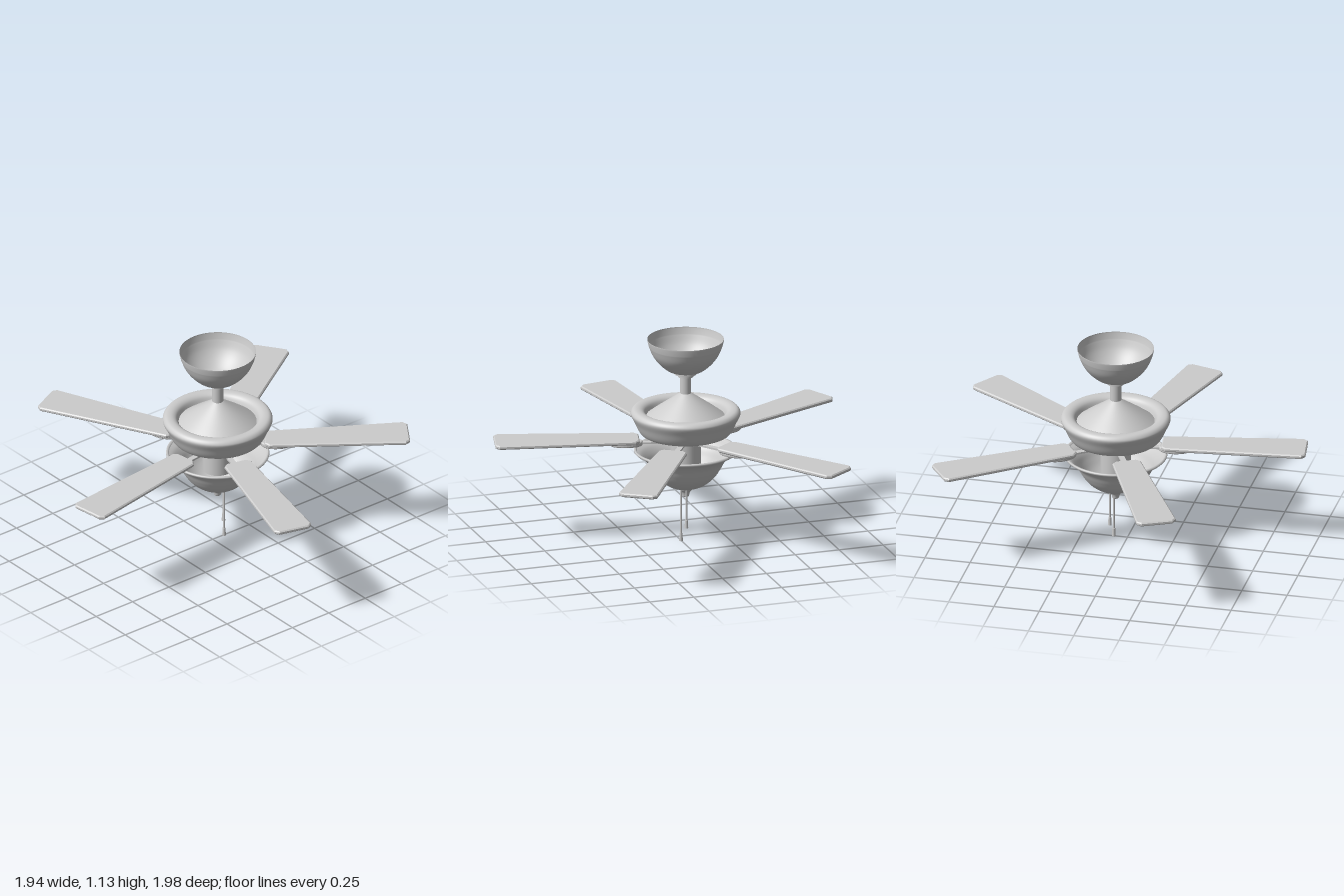
import * as THREE from 'three';

const material = new THREE.MeshStandardMaterial({ color: 0xcccccc, side: THREE.DoubleSide });

function addMesh(parent, name, geometry, x = 0, y = 0, z = 0) {
  const mesh = new THREE.Mesh(geometry, material);
  mesh.name = name;
  mesh.position.set(x, y, z);
  parent.add(mesh);
  return mesh;
}

// Turned part: [radius, height] points listed from bottom to top; a doubled point keeps a sharp edge
function turned(parent, name, points) {
  const profile = points.map(([r, y]) => new THREE.Vector2(r, y));
  return addMesh(parent, name, new THREE.LatheGeometry(profile, 64));
}

// Smooth curve through a few [radius, height] points
function smooth(points, steps = 24) {
  const curve = new THREE.SplineCurve(points.map(([r, y]) => new THREE.Vector2(r, y)));
  return curve.getPoints(steps).map((p) => [Math.max(p.x, 0), p.y]);
}

// Flat bevelled plate lying in the xz plane, centred on height y
function plate(parent, name, shape, thickness, bevel, y, segments = 1) {
  const geometry = new THREE.ExtrudeGeometry(shape, {
    depth: thickness - 2 * bevel, bevelThickness: bevel, bevelSize: bevel,
    bevelOffset: -bevel, bevelSegments: segments, curveSegments: 16,
  });
  geometry.translate(0, 0, bevel - thickness / 2);
  geometry.rotateX(-Math.PI / 2);
  return addMesh(parent, name, geometry, 0, y, 0);
}

// Blade outline, widening towards a tip with clipped corners
function bladeShape() {
  const inner = 0.25, outer = 1.03, a = 0.078, b = 0.108, cut = 0.022;
  return new THREE.Shape([
    [inner + cut, -a], [outer - cut, -b], [outer, -b + cut], [outer, b - cut],
    [outer - cut, b], [inner + cut, a], [inner, a - cut], [inner, -a + cut],
  ].map(([x, y]) => new THREE.Vector2(x, y)));
}

// Blade with its bracket, pointing along +x
function createArm(angle) {
  const arm = new THREE.Group();
  arm.name = 'bladeArm';
  plate(arm, 'blade', bladeShape(), 0.022, 0.006, 0.577);

  const pad = new THREE.Shape();
  pad.absellipse(0.32, 0, 0.09, 0.055, 0, Math.PI * 2);
  plate(arm, 'bracketPad', pad, 0.028, 0.009, 0.555, 3);

  addMesh(arm, 'bracketBar', new THREE.BoxGeometry(0.2, 0.01, 0.03), 0.17, 0.556, 0);
  arm.rotation.y = THREE.MathUtils.degToRad(angle);
  return arm;
}

function pullChain(parent, x, z, bottom) {
  const chain = new THREE.Group();
  chain.name = 'pullChain';
  const top = 0.31, fob = 0.046;
  addMesh(chain, 'chain', new THREE.CylinderGeometry(0.005, 0.005, top - bottom - fob, 10),
    0, (top + bottom + fob) / 2, 0);
  addMesh(chain, 'fob', new THREE.CylinderGeometry(0.008, 0.01, fob, 14), 0, bottom + fob / 2, 0);
  chain.position.set(x, 0, z);
  parent.add(chain);
}

export function createModel() {
  const model = new THREE.Group();
  model.name = 'ceilingFan';
  const fan = new THREE.Group();
  fan.name = 'fan';
  fan.position.set(0.058, 0, -0.03);
  model.add(fan);

  // Ceiling canopy, open at the top
  turned(fan, 'canopy', [
    ...smooth([[0.06, 0.953], [0.1, 0.966], [0.145, 1.005], [0.178, 1.05], [0.199, 1.1]]),
    [0.206, 1.13], [0.206, 1.137]]);
  turned(fan, 'canopyCollar', [
    [0.03, 0.925], [0.042, 0.925], [0.042, 0.925], [0.042, 0.938], [0.042, 0.938],
    [0.06, 0.94], [0.06, 0.94], [0.06, 0.957], [0.06, 0.957], [0.045, 0.965], [0.025, 0.978], [0, 0.982]]);

  // Down rod and the cone at its foot
  addMesh(fan, 'downRod', new THREE.CylinderGeometry(0.03, 0.03, 0.14, 32), 0, 0.88, 0);
  turned(fan, 'motorCone', [[0.215, 0.7], [0.155, 0.745], [0.045, 0.822], [0.03, 0.832]]);

  // Motor housing with a rounded lip dipping down to the cone
  turned(fan, 'motorHousing', [
    [0, 0.6], [0.215, 0.6], [0.215, 0.6],
    ...smooth([[0.215, 0.6], [0.24, 0.61], [0.258, 0.635], [0.276, 0.675], [0.294, 0.712],
      [0.292, 0.73], [0.275, 0.744], [0.245, 0.744], [0.222, 0.73], [0.208, 0.7]], 40)]);

  // Shaft between motor and light
  addMesh(fan, 'hub', new THREE.CylinderGeometry(0.082, 0.082, 0.2, 40), 0, 0.51, 0);

  // Blades
  for (const angle of [35.3, 115.8, 188.6, 255, 326.3]) fan.add(createArm(angle));

  // Light bowl, open at the top, with a flared rim
  turned(fan, 'lightBowl', [
    ...smooth([[0, 0.295], [0.06, 0.3], [0.115, 0.325], [0.16, 0.365], [0.19, 0.41],
      [0.212, 0.45], [0.24, 0.482], [0.272, 0.5]], 36),
    [0.278, 0.506], [0.277, 0.514], [0.268, 0.516], [0.262, 0.508]]);
  turned(fan, 'finial', smooth([[0, 0.243], [0.016, 0.247], [0.021, 0.262], [0.026, 0.275],
    [0.036, 0.288], [0.042, 0.305]], 20));

  // Pull chains
  pullChain(fan, 0.018, 0.032, 0.003);
  pullChain(fan, 0.034, 0.007, 0.077);

  return model;
}
